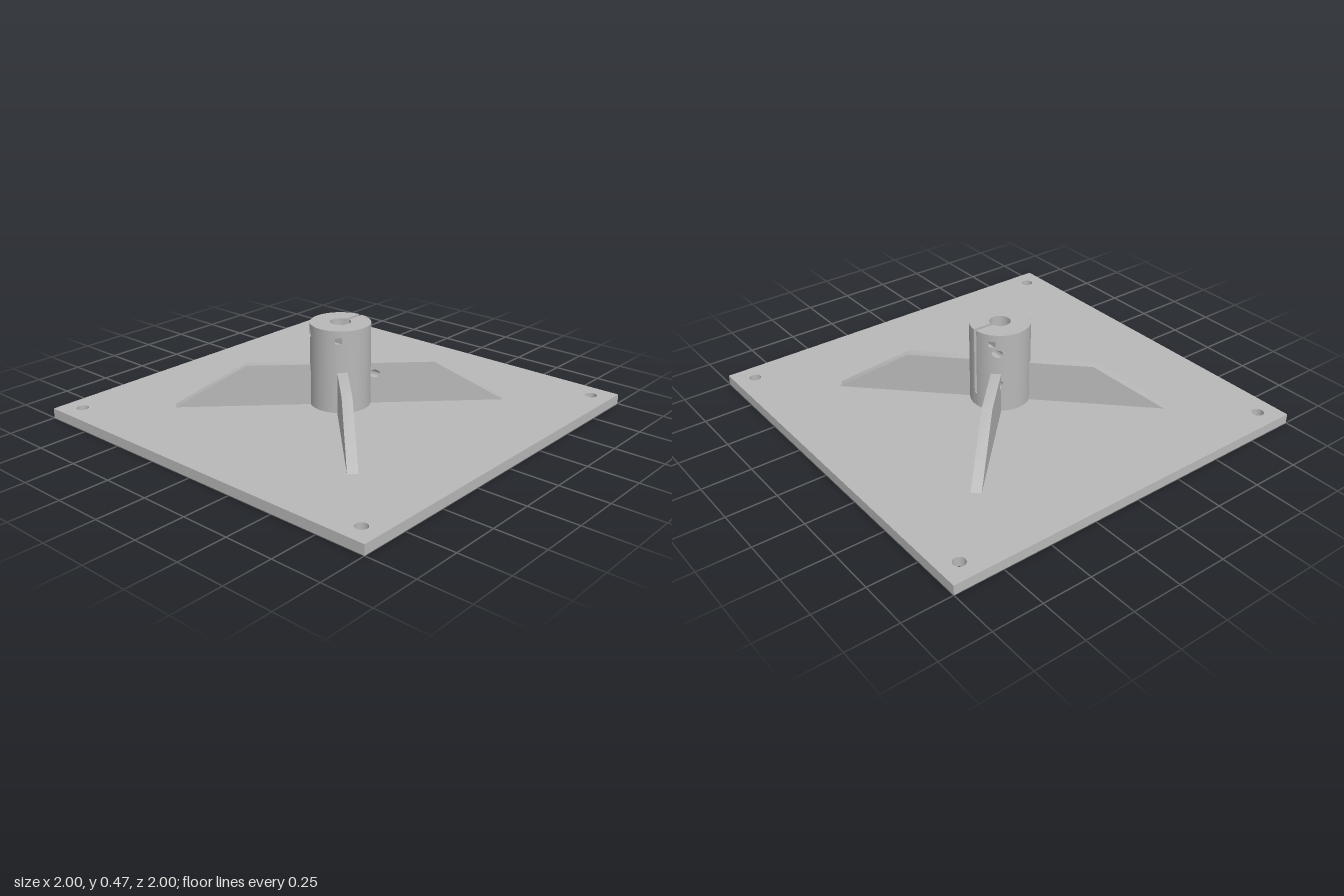
import * as THREE from 'three';
import { mergeVertices, toCreasedNormals } from 'three/addons/utils/BufferGeometryUtils.js';

const R = 0.15, BORE = 0.052, BASE = 0.05, TOP = 0.47; // post
const SLOT = 0.009, SLOT_Y = 0.118;                    // slot half width and floor

// Holes drilled through the post along z (h = half height of a square one)
const HOLES = [
  { x: 0.1, y: 0.205, r: 0.02 },
  { x: 0.1, y: 0.37, r: 0.02 },
  { x: 0.118, y: 0.42, r: 0.01, h: 0.015 },
  { x: -0.118, y: 0.42, r: 0.01, h: 0.015 },
];

const halfHeight = (o, x) => o.h ?? Math.sqrt(Math.max(0, o.r * o.r - (x - o.x) ** 2));

function outline(o) {
  const p = [];
  if (o.h) {
    for (const [sx, sy] of [[-1, -1], [1, -1], [1, 1], [-1, 1]]) {
      p.push(new THREE.Vector2(o.x + sx * o.r, o.y + sy * o.h));
    }
    return p;
  }
  for (let i = 0; i < 24; i++) {
    const a = i * Math.PI / 12;
    p.push(new THREE.Vector2(o.x + o.r * Math.cos(a), o.y + o.r * Math.sin(a)));
  }
  return p;
}

function quadGeometry(quads) {
  const pos = [];
  for (const [a, b, c, d] of quads) pos.push(...a, ...b, ...c, ...a, ...c, ...d);
  const g = new THREE.BufferGeometry();
  g.setAttribute('position', new THREE.Float32BufferAttribute(pos, 3));
  return toCreasedNormals(mergeVertices(g, 1e-6), 0.6);
}

// Round wall made of columns, interrupted by the holes and the slot
function roundWall(radius, holes, inward) {
  const s = Math.asin(SLOT / radius), angles = [s, -s];
  for (let i = 0; i <= 64; i++) angles.push(-Math.PI + i * Math.PI / 32);
  for (const o of holes) {
    for (let i = 0; i <= 12; i++) {
      const a = Math.acos((o.x + o.r * Math.cos(i * Math.PI / 12)) / radius);
      angles.push(a, -a);
    }
  }
  angles.sort((a, b) => a - b);
  const quads = [];
  for (let i = 0; i + 1 < angles.length; i++) {
    const a0 = angles[i], a1 = angles[i + 1], mid = (a0 + a1) / 2;
    if (a1 - a0 < 1e-6) continue;
    const x0 = radius * Math.cos(a0), x1 = radius * Math.cos(a1), xm = radius * Math.cos(mid);
    const top = Math.abs(mid) < s ? SLOT_Y : TOP;
    let low = [BASE, BASE];
    const add = (high) => {
      const at = (a, y) => [radius * Math.cos(a), y, -radius * Math.sin(a)];
      const q = [at(a0, low[0]), at(a1, low[1]), at(a1, high[1]), at(a0, high[0])];
      quads.push(inward ? q.reverse() : q);
    };
    const cut = holes.filter((o) => Math.abs(xm - o.x) < o.r).sort((p, q) => p.y - q.y);
    for (const o of cut) {
      const h0 = halfHeight(o, x0), h1 = halfHeight(o, x1);
      add([o.y - h0, o.y - h1]);
      low = [o.y + h0, o.y + h1];
    }
    add([top, top]);
  }
  return quadGeometry(quads);
}

// Inner sides of a drilled hole; those on the slot side stop at the slot
function tunnel(o) {
  const p = outline(o), quads = [], edge = (q) => Math.sqrt(R * R - q.x * q.x);
  p.forEach((a, i) => {
    const b = p[(i + 1) % p.length], gap = o.x > 0 ? SLOT : 0;
    const add = (a0, b0, a1, b1) => quads.push(
      [[b.x, b.y, b0], [a.x, a.y, a0], [a.x, a.y, a1], [b.x, b.y, b1]]);
    add(gap, gap, edge(a), edge(b));
    add(-edge(a), -edge(b), -gap, -gap);
  });
  return quadGeometry(quads);
}

// Gusset along the diagonal x = side * z; the drilled one is cut straight along z
function finGeometry(side, drilled) {
  const hole = HOLES[0];
  const shape = new THREE.Shape([[0.055, BASE], [0.578, BASE], [0.327, 0.26], [0.055, 0.26]]
    .map(([x, y]) => new THREE.Vector2(x, y)));
  if (drilled) shape.holes.push(new THREE.Path(outline(hole)));
  const depth = 0.05 * Math.SQRT2;
  const g = new THREE.ExtrudeGeometry(shape, { depth, bevelEnabled: false });
  const p = g.attributes.position;
  for (let i = 0; i < p.count; i++) {
    const x = p.getX(i), y = p.getY(i), w = p.getZ(i) - depth / 2;
    const onHole = drilled && Math.hypot(x - hole.x, y - hole.y) < hole.r + 0.001;
    // outline corners are squared to the gusset, hole points slide along z
    if (onHole) p.setXYZ(i, x, y, side * x + w);
    else p.setXYZ(i, x - side * w / 2, y, side * x + w / 2);
  }
  return toCreasedNormals(g, 0.6);
}

export function createModel() {
  const model = new THREE.Group();
  model.name = 'postBase';
  const metal = new THREE.MeshStandardMaterial({ color: 0xb8b8b8, side: THREE.DoubleSide });
  metal.name = 'grey metal';
  const add = (name, geometry, parent = model) => {
    const mesh = new THREE.Mesh(geometry, metal);
    mesh.name = name;
    parent.add(mesh);
    return mesh;
  };

  // Square plate with corner bolt holes and a centre bore
  const plate = new THREE.Shape([[-1, -1], [1, -1], [1, 1], [-1, 1]].map(([x, y]) => new THREE.Vector2(x, y)));
  const bolts = [[0, 0, BORE]];
  for (const x of [-0.9, 0.9]) for (const y of [-0.9, 0.9]) bolts.push([x, y, 0.03]);
  for (const [x, y, r] of bolts) plate.holes.push(new THREE.Path().absarc(x, y, r, 0, Math.PI * 2, true));
  const plateGeometry = new THREE.ExtrudeGeometry(plate, { depth: BASE, bevelEnabled: false, curveSegments: 32 });
  add('basePlate', toCreasedNormals(plateGeometry.rotateX(-Math.PI / 2), 0.6));

  // Slotted post
  const post = new THREE.Group();
  post.name = 'post';
  model.add(post);
  add('postOuterWall', roundWall(R, HOLES, false), post);
  add('postBore', roundWall(BORE, [], true), post);
  HOLES.forEach((o) => add('crossHole', tunnel(o), post));

  const so = Math.asin(SLOT / R), si = Math.asin(SLOT / BORE);
  const ring = new THREE.Shape();
  ring.absarc(0, 0, R, so, Math.PI * 2 - so, false);
  ring.absarc(0, 0, BORE, Math.PI * 2 - si, si, true);
  add('postTop', new THREE.ShapeGeometry(ring, 64).rotateX(-Math.PI / 2).translate(0, TOP, 0), post);

  // Slot sides and floor
  const xi = BORE * Math.cos(si), xo = R * Math.cos(so);
  const wall = new THREE.Shape([[xi, SLOT_Y], [xo, SLOT_Y], [xo, TOP], [xi, TOP]].map(([x, y]) => new THREE.Vector2(x, y)));
  HOLES.filter((o) => o.x > 0).forEach((o) => wall.holes.push(new THREE.Path(outline(o))));
  for (const s of [-1, 1]) add('slotSide', new THREE.ShapeGeometry(wall), post).position.z = s * SLOT;
  add('slotFloor', new THREE.PlaneGeometry(xo - xi, SLOT * 2).rotateX(-Math.PI / 2)
    .translate((xi + xo) / 2, SLOT_Y, 0), post);

  // Four diagonal gussets
  for (const side of [-1, 1]) {
    add('leftGusset', finGeometry(side, true));
    add('rightGusset', finGeometry(side, false)).rotation.y = Math.PI;
  }
  return model;
}
